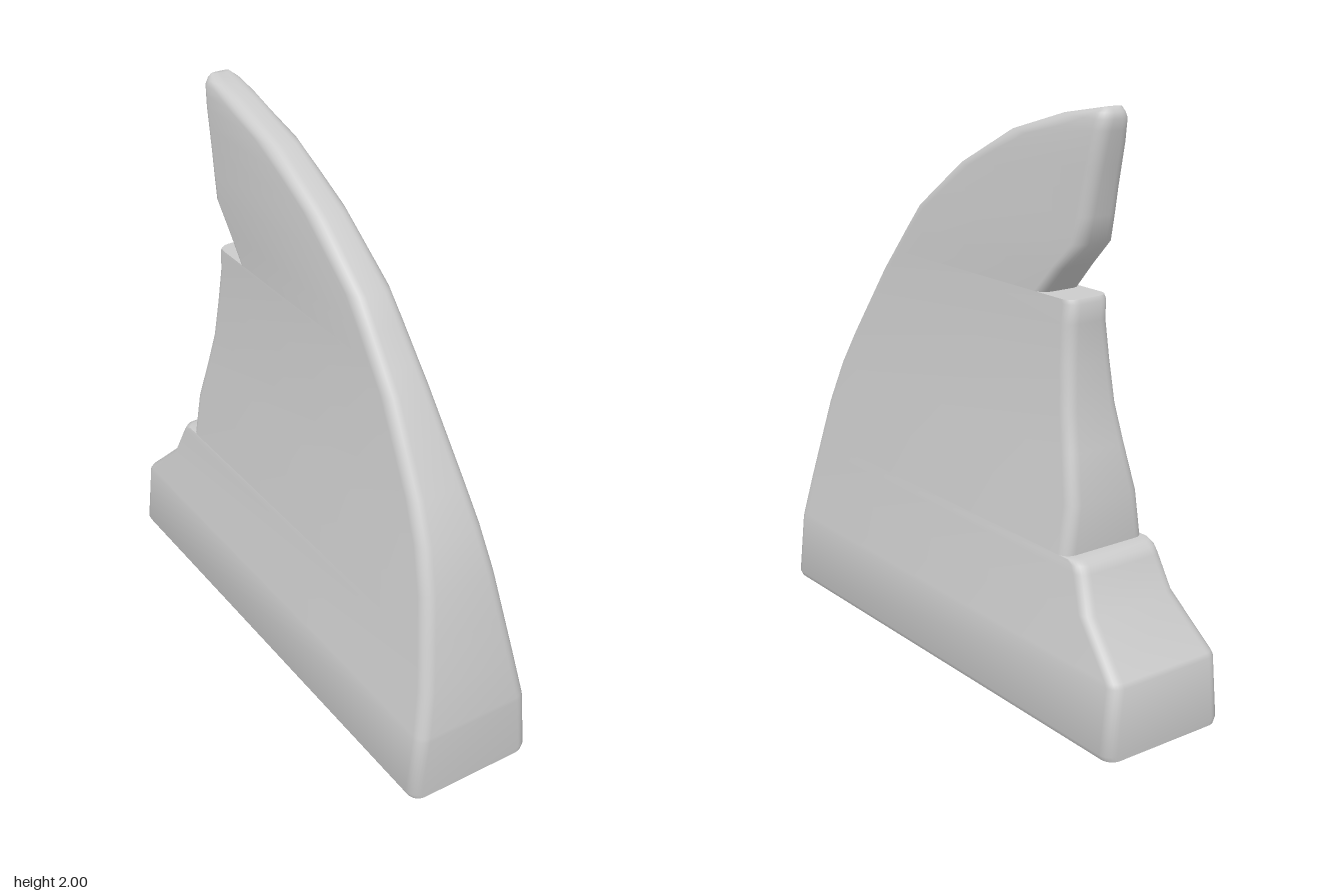
import * as THREE from 'three';
import { toCreasedNormals } from 'three/addons/utils/BufferGeometryUtils.js';

// Leading edge: [y, z]
const FRONT = [[0, 0.955], [0.25, 0.955], [0.43, 0.925], [0.74, 0.85], [0.9, 0.79], [1.03, 0.72],
  [1.31, 0.54], [1.57, 0.33], [1.75, 0.09], [1.89, -0.18], [1.965, -0.43], [2, -0.62]];
// Half thickness: [y, x]
const HALF = [[0, 0.235], [0.02, 0.245], [0.25, 0.222], [0.43, 0.19], [0.74, 0.146], [0.9, 0.125], [1.03, 0.11],
  [1.31, 0.087], [1.57, 0.077], [1.89, 0.066], [1.965, 0.06], [1.985, 0.053], [2, 0.035]];
// Trailing edge with its two ledges and notch: [y, z]
const BACK = [[0, -0.955], [0.02, -0.955], [0.245, -0.955], [0.26, -0.945], [0.42, -0.78], [0.54, -0.73],
  [0.565, -0.715], [0.577, -0.69], [0.577, -0.645], [0.74, -0.643], [0.9, -0.603], [1.03, -0.572], [1.18, -0.555],
  [1.31, -0.545], [1.375, -0.55], [1.39, -0.54], [1.39, -0.405], [1.48, -0.487], [1.57, -0.575],
  [1.66, -0.595], [1.75, -0.613], [1.82, -0.629], [1.89, -0.645], [1.93, -0.653], [1.965, -0.66], [1.985, -0.655], [2, -0.64]];

function sample(table, y) {
  let i = 1;
  while (i < table.length - 1 && table[i][0] < y) i++;
  const [y0, v0] = table[i - 1], [y1, v1] = table[i];
  return v0 + (v1 - v0) * (y - y0) / (y1 - y0);
}

// Horizontal slice with rounded corners, counter-clockwise from above
function slice(y, zBack) {
  const zFront = sample(FRONT, y), half = sample(HALF, y), length = zFront - zBack;
  const slope = (sample(FRONT, Math.min(y + 0.03, 2)) - sample(FRONT, Math.max(y - 0.03, 0))) / 0.06;
  const r = Math.min(0.042, half * 0.75);
  const depthFront = Math.min(r * Math.hypot(1, slope), length * 0.6);
  const depthBack = Math.min(r, length * 0.35);
  const side = [], steps = 6;
  for (let k = 0; k <= steps; k++) {
    const a = k / steps * Math.PI / 2;
    side.push([half - r + r * Math.sin(a), zFront - depthFront * (1 - Math.cos(a))]);
  }
  for (let k = steps; k >= 0; k--) {
    const a = k / steps * Math.PI / 2;
    side.push([half - r + r * Math.sin(a), zBack + depthBack * (1 - Math.cos(a))]);
  }
  const mirrored = side.map(([x, z]) => [-x, z]).reverse();
  return [...side, ...mirrored].map(([x, z]) => [x, y, z]);
}

function finGeometry() {
  const rings = BACK.map(([y, z]) => slice(y, z));
  const n = rings[0].length, index = [];
  for (let i = 0; i < rings.length - 1; i++) {
    for (let j = 0; j < n; j++) {
      const a = i * n + j, b = i * n + (j + 1) % n;
      index.push(a, b, b + n, a, b + n, a + n);
    }
  }
  // Flat base and tip
  const top = (rings.length - 1) * n;
  for (let j = 1; j < n - 1; j++) index.push(0, j + 1, j, top, top + j, top + j + 1);
  const geometry = new THREE.BufferGeometry();
  geometry.setAttribute('position', new THREE.Float32BufferAttribute(rings.flat(2), 3));
  geometry.setIndex(index);
  return toCreasedNormals(geometry, 0.9);
}

export function createModel() {
  const group = new THREE.Group();
  group.name = 'notchedFin';
  const fin = new THREE.Mesh(finGeometry(), new THREE.MeshStandardMaterial({ color: 0xcccccc }));
  fin.name = 'fin';
  group.add(fin);
  return group;
}
